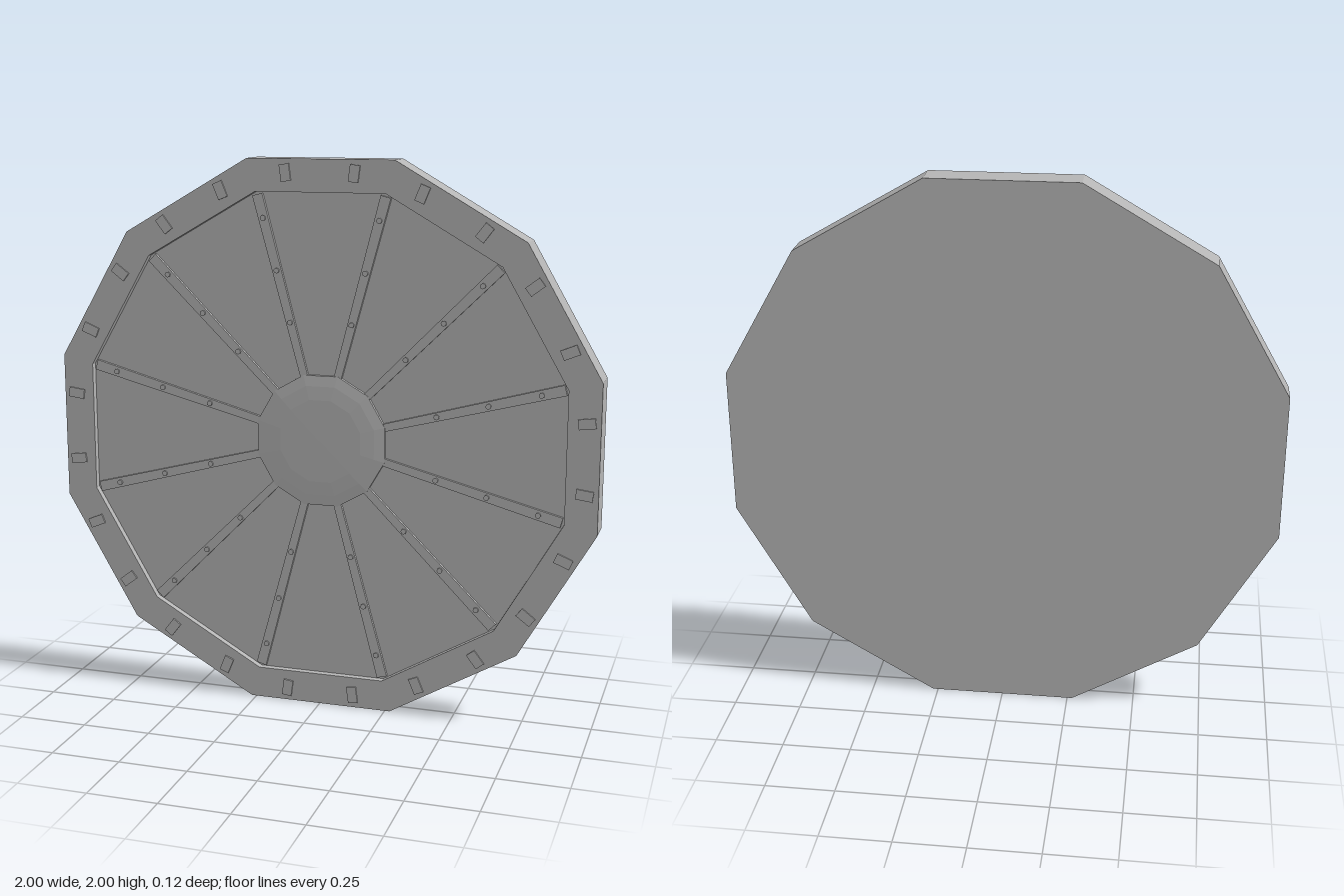
import * as THREE from 'three';

const SIDES = 12;
const STEP = (Math.PI * 2) / SIDES;
const CORNER = 1 / Math.cos(STEP / 2); // apothem to corner radius
const FRONT = 0.055, FLOOR = 0.03, BACK = -0.061;

const metal = new THREE.MeshStandardMaterial({ color: 0xb4b4b4 });

// Twelve-sided faceted solid about z from [apothem, z] points
function facetedDisc(name, profile) {
  const points = profile.map(([a, z]) => new THREE.Vector2(a * CORNER, z));
  const geo = new THREE.LatheGeometry(points, SIDES, STEP / 2).rotateX(Math.PI / 2).toNonIndexed();
  geo.computeVertexNormals();
  const mesh = new THREE.Mesh(geo, metal);
  mesh.name = name;
  return mesh;
}

function part(name, geo, x, y, z) {
  const mesh = new THREE.Mesh(geo, metal);
  mesh.name = name;
  mesh.position.set(x, y, z);
  return mesh;
}

export function createModel() {
  const model = new THREE.Group();
  model.name = 'hatch';
  const disc = new THREE.Group();
  disc.name = 'door';
  disc.position.y = 1;
  model.add(disc);

  // Slab with raised rim and recessed face
  disc.add(facetedDisc('slab', [
    [0, BACK], [1, BACK], [1, FRONT], [0.885, FRONT], [0.885, FLOOR], [0, FLOOR],
  ]));

  // Central hub with a shallow dome
  disc.add(facetedDisc('hub', [
    [0.238, FLOOR - 0.01], [0.238, 0.044], [0.2, 0.049], [0.15, 0.052], [0, 0.053],
  ]));

  // Ribs taper slightly towards the hub
  const ribShape = new THREE.Shape([
    new THREE.Vector2(0.235, -0.014), new THREE.Vector2(0.905, -0.019),
    new THREE.Vector2(0.905, 0.019), new THREE.Vector2(0.235, 0.014),
  ]);
  const ribGeo = new THREE.ExtrudeGeometry(ribShape, { depth: 0.02, bevelEnabled: false });
  const rivetGeo = new THREE.CylinderGeometry(0.01, 0.01, 0.016, 8).rotateX(Math.PI / 2);
  const studGeo = new THREE.BoxGeometry(0.06, 0.036, 0.022);

  for (let i = 0; i < SIDES; i++) {
    // Rib along each corner, with three rivets
    const spoke = new THREE.Group();
    spoke.name = 'spoke';
    spoke.rotation.z = (i + 0.5) * STEP;
    spoke.add(part('rib', ribGeo, 0, 0, FLOOR - 0.008));
    for (const r of [0.44, 0.63, 0.82]) spoke.add(part('rivet', rivetGeo, r, 0, 0.04));
    disc.add(spoke);

    // Two studs on each rim side
    for (const s of [-1, 1]) {
      const a = i * STEP + s * STEP / 4;
      const stud = part('rimStud', studGeo, Math.cos(a) * 0.96, Math.sin(a) * 0.96, 0.05);
      stud.rotation.z = a;
      disc.add(stud);
    }
  }
  return model;
}
